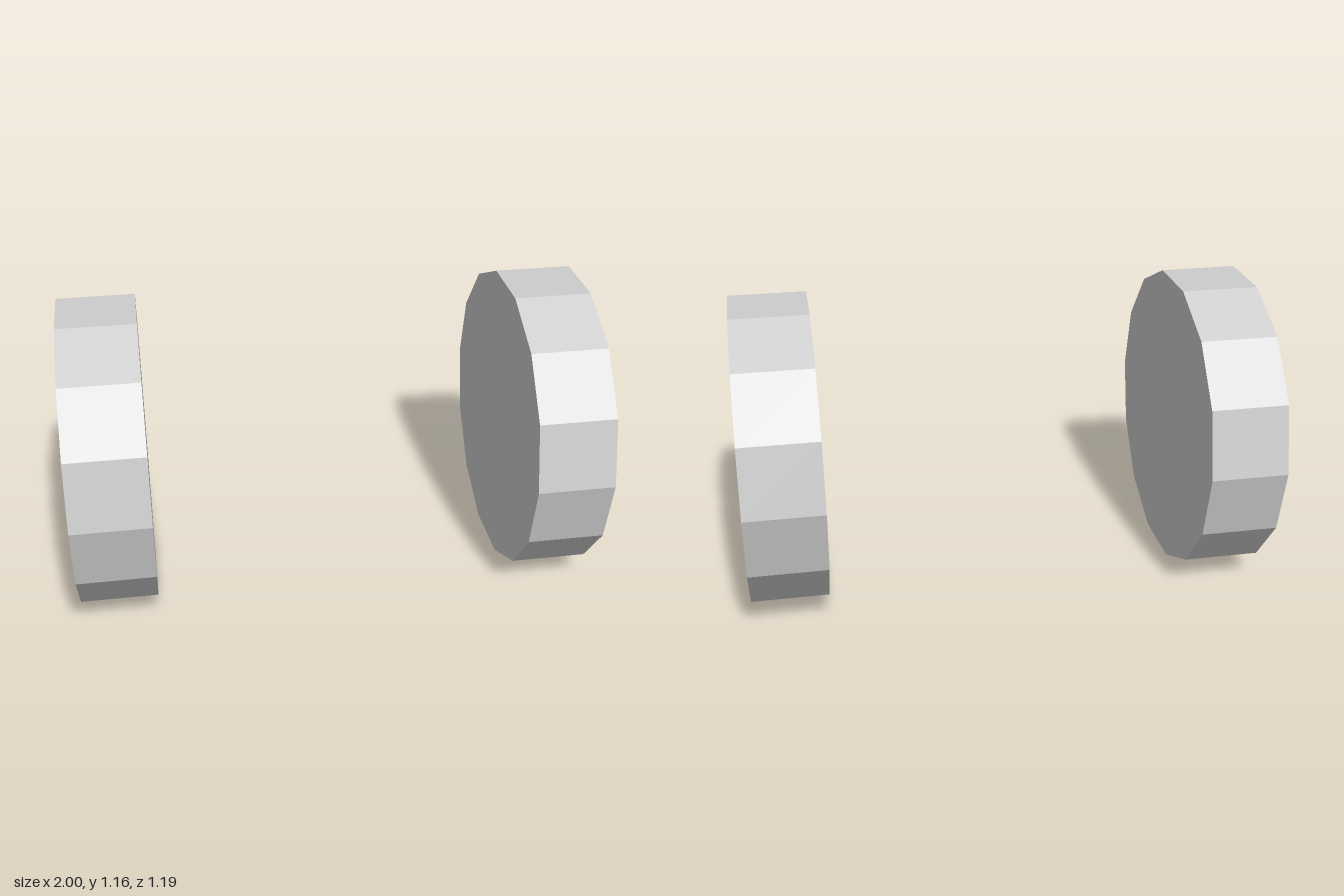
import * as THREE from 'three';

export function createModel() {
  const group = new THREE.Group();
  const grey = new THREE.MeshStandardMaterial({ color: 0xcccccc, flatShading: true });
  grey.name = 'light grey';

  const sides = 14;
  const radius = 0.593;
  const centreY = radius * Math.cos(Math.PI / sides); // rests on a flat facet

  // Wheel profile as [radius, distance along the axle], inner face to hub tip
  const profile = [
    [0, 0.705], [radius, 0.705],   // flat inner face
    [radius, 1], [0.38, 1],        // tread and sidewall
    [0.236, 0.895],                // dished rim
    [0.181, 0.957], [0, 0.982],    // raised hub with shallow cone cap
  ].map(([r, d]) => new THREE.Vector2(r, d));

  const wheelGeometry = new THREE.LatheGeometry(profile, sides);
  wheelGeometry.rotateZ(-Math.PI / 2); // axle along x, hub facing out

  for (const [name, turn] of [['leftWheel', 0], ['rightWheel', Math.PI]]) {
    const wheel = new THREE.Mesh(wheelGeometry, grey);
    wheel.name = name;
    wheel.position.y = centreY;
    wheel.rotation.y = turn;
    group.add(wheel);
  }
  return group;
}
